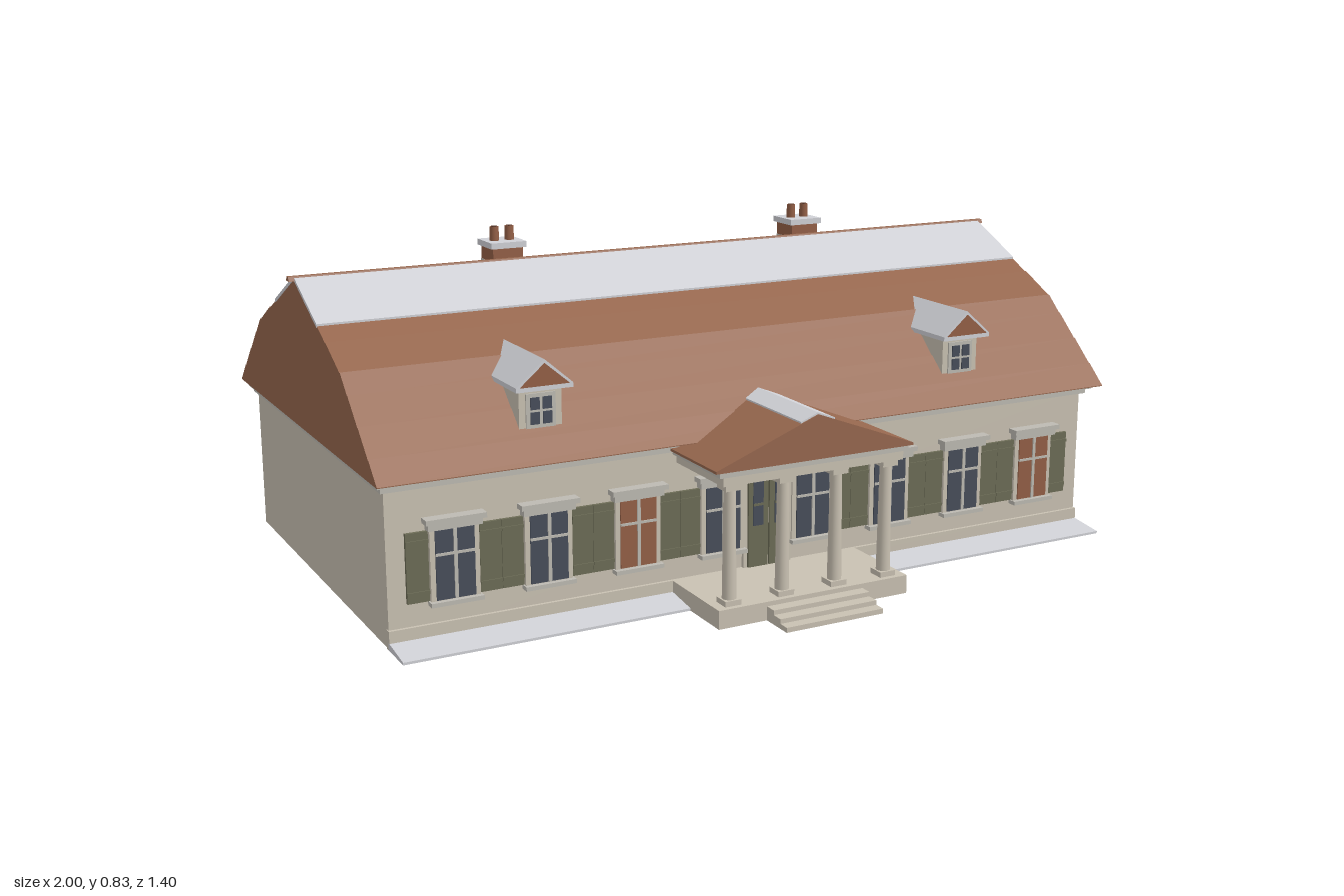
import * as THREE from 'three';

const mat = (name, color) => Object.assign(new THREE.MeshStandardMaterial({ color }), { name });

export function createModel() {
  const M = {
    wall: mat('plaster', 0xc9c1b2),
    trim: mat('pale stone trim', 0xbdbab2),
    roof: mat('roof tile', 0x96674e),
    metal: mat('pale sheet metal', 0xd0d1d6),
    shutter: mat('olive paint', 0x6c6c56),
    glass: mat('dark glass', 0x474d5a),
    brick: mat('brown board', 0x935f46),
    dark: mat('dark pot', 0x5d3a2c),
  };
  const model = new THREE.Group();
  model.name = 'house';

  const add = (parent, name, geo, m, x = 0, y = 0, z = 0) => {
    const mesh = new THREE.Mesh(geo, m);
    mesh.name = name;
    mesh.position.set(x, y, z);
    parent.add(mesh);
    return mesh;
  };
  // Box given by its extents on each axis
  const box = (parent, name, m, [x0, x1], [y0, y1], [z0, z1]) =>
    add(parent, name, new THREE.BoxGeometry(x1 - x0, y1 - y0, z1 - z0), m, (x0 + x1) / 2, (y0 + y1) / 2, (z0 + z1) / 2);
  const shapeOf = pts => new THREE.Shape(pts.map(p => new THREE.Vector2(...p)));
  const extrude = (pts, depth) => new THREE.ExtrudeGeometry(shapeOf(pts), { depth, bevelEnabled: false });
  // Prism along x from a (z, y) profile
  const prismX = (parent, name, m, pts, half) =>
    add(parent, name, extrude(pts, half * 2).rotateY(-Math.PI / 2), m, half);
  // Prism along z from an (x, y) profile
  const prismZ = (parent, name, m, pts, z0, z1) => add(parent, name, extrude(pts, z1 - z0), m, 0, 0, z0);
  const group = (name, x = 0, y = 0, z = 0) => {
    const g = new THREE.Group();
    g.name = name;
    g.position.set(x, y, z);
    model.add(g);
    return g;
  };

  // Walls, plinth, cornice and front pavement
  box(model, 'walls', M.wall, [-0.955, 0.955], [0, 0.37], [-0.652, 0.38]);
  box(model, 'plinth', M.wall, [-0.957, 0.957], [0, 0.045], [0.37, 0.388]);
  box(model, 'corniceLower', M.trim, [-0.965, 0.965], [0.362, 0.376], [-0.66, 0.392]);
  box(model, 'corniceUpper', M.trim, [-0.975, 0.975], [0.376, 0.392], [-0.675, 0.405]);
  prismX(model, 'pavement', M.metal, [[0.38, 0], [0.478, 0], [0.478, 0.006], [0.38, 0.018]], 0.957);

  // Double-pitched main roof, stepped slightly at each tile course
  const ridgeZ = -0.133, lip = 0.003;
  const slope = d => (d > 0.337 ? 0.39 + (0.568 - d) * 0.2 / 0.231 : 0.75 - d * 0.16 / 0.337);
  const side = [[0.568, 0.388], [0.568, slope(0.568)]];
  for (const d of [0.515, 0.45, 0.385, 0.337, 0.235]) side.push([d, slope(d) + lip], [d, slope(d)]);
  const profile = [
    ...side.map(([d, y]) => [ridgeZ + d, y]),
    [ridgeZ, 0.75],
    ...side.map(([d, y]) => [ridgeZ - d, y]).reverse(),
  ];
  prismX(model, 'mainRoof', M.roof, profile, 0.985);

  // Pale band along both upper slopes, and ridge cap
  for (const s of [1, -1]) {
    const pts = [[0.006, slope(0.006) - 0.004], [0.175, slope(0.175) - 0.004], [0.175, slope(0.175) + 0.005], [0.006, slope(0.006) + 0.005]]
      .map(([d, y]) => [ridgeZ + s * d, y]);
    prismX(model, 'roofBand', M.metal, s > 0 ? pts : pts.reverse(), 0.986);
  }
  prismX(model, 'ridgeCap', M.roof, [[ridgeZ - 0.011, 0.744], [ridgeZ + 0.011, 0.744], [ridgeZ + 0.006, 0.755], [ridgeZ - 0.006, 0.755]], 1);

  // Chimneys
  for (const x of [-0.434, 0.431]) {
    const g = group('chimney', x, 0, -0.2);
    const sq = (name, m, h, y0, y1) => box(g, name, m, [-h, h], [y0, y1], [-h, h]);
    sq('stack', M.brick, 0.036, 0.65, 0.74);
    sq('collar', M.trim, 0.041, 0.735, 0.742);
    sq('stackHead', M.brick, 0.04, 0.742, 0.776);
    sq('cap', M.metal, 0.047, 0.776, 0.791);
    for (const s of [-1, 1]) {
      add(g, 'pot', new THREE.CylinderGeometry(0.011, 0.012, 0.036, 12), M.brick, s * 0.02, 0.808, 0);
      add(g, 'potMouth', new THREE.CylinderGeometry(0.008, 0.008, 0.003, 12), M.dark, s * 0.02, 0.826, 0);
    }
  }

  // Dormers
  for (const x of [-0.576, 0.576]) {
    const g = group('dormer', x);
    box(g, 'dormerBody', M.wall, [-0.052, 0.052], [0.42, 0.56], [0.2, 0.36]);
    prismZ(g, 'dormerRoof', M.metal, [[-0.069, 0.546], [0.069, 0.546], [0.069, 0.557], [0, 0.617], [-0.069, 0.557]], 0.12, 0.388);
    prismZ(g, 'dormerGable', M.brick, [[-0.06, 0.557], [0.06, 0.557], [0, 0.608]], 0.386, 0.391);
    box(g, 'dormerFrame', M.trim, [-0.036, 0.036], [0.455, 0.535], [0.355, 0.364]);
    for (const s of [-1, 1]) for (const y of [0.464, 0.498])
      box(g, 'dormerPane', M.glass, [s * 0.015 - 0.011, s * 0.015 + 0.011], [y, y + 0.028], [0.36, 0.367]);
  }

  // Front windows with shutters; two have boarded panes
  [-0.8, -0.575, -0.35, -0.125, 0.125, 0.35, 0.575, 0.8].forEach((x, i) => {
    const g = group('window', x);
    const pane = i === 2 || i === 7 ? M.brick : M.glass;
    box(g, 'frame', M.wall, [-0.058, 0.058], [0.092, 0.275], [0.375, 0.392]);
    box(g, 'lintel', M.trim, [-0.064, 0.064], [0.264, 0.28], [0.375, 0.402]);
    box(g, 'lintelCap', M.trim, [-0.071, 0.071], [0.28, 0.292], [0.375, 0.41]);
    box(g, 'sill', M.trim, [-0.062, 0.062], [0.088, 0.098], [0.375, 0.404]);
    box(g, 'panes', pane, [-0.046, 0.046], [0.1, 0.262], [0.388, 0.395]);
    box(g, 'mullion', M.trim, [-0.004, 0.004], [0.1, 0.262], [0.39, 0.398]);
    box(g, 'transom', M.trim, [-0.046, 0.046], [0.203, 0.209], [0.39, 0.398]);
    for (const s of [-1, 1]) {
      if (Math.abs(x) < 0.2 && s * x < 0) continue; // no shutter beside the door
      const a = s * 0.086;
      box(g, 'shutter', M.shutter, [a - 0.026, a + 0.026], [0.1, 0.262], [0.375, 0.388]);
      for (const y of [0.118, 0.236])
        box(g, 'shutterRail', M.shutter, [a - 0.026, a + 0.026], [y, y + 0.008], [0.385, 0.391]);
    }
  });

  // Double door with a fanlight
  const door = group('door');
  box(door, 'doorFrame', M.wall, [-0.066, 0.066], [0.045, 0.285], [0.375, 0.389]);
  for (const s of [-1, 1]) {
    box(door, 'doorLeaf', M.shutter, [s * 0.029 - 0.027, s * 0.029 + 0.027], [0.046, 0.275], [0.38, 0.395]);
    box(door, 'doorGlass', M.glass, [s * 0.03 - 0.014, s * 0.03 + 0.014], [0.15, 0.26], [0.39, 0.397]);
    box(door, 'doorBar', M.shutter, [s * 0.03 - 0.014, s * 0.03 + 0.014], [0.2, 0.206], [0.392, 0.399]);
  }
  add(door, 'fanlight', new THREE.CircleGeometry(0.056, 24, 0, Math.PI), M.brick, 0, 0.279, 0.392);
  add(door, 'fanArch', new THREE.TorusGeometry(0.058, 0.006, 6, 24, Math.PI), M.wall, 0, 0.279, 0.388);
  for (let i = 1; i < 6; i++) {
    const ray = add(door, 'fanRay', new THREE.BoxGeometry(0.056, 0.003, 0.004).translate(0.028, 0, 0), M.wall, 0, 0.279, 0.393);
    ray.rotation.z = i * Math.PI / 6;
  }

  // Porch floor and steps
  const porch = group('porch');
  box(porch, 'porchFloor', M.wall, [-0.258, 0.254], [0, 0.045], [0.37, 0.615]);
  [[0.645, 0.034], [0.675, 0.023], [0.703, 0.012]].forEach(([z, y]) =>
    box(porch, 'step', M.wall, [-0.132, 0.128], [0, y], [0.6, z]));

  // Columns
  for (const x of [-0.213, -0.073, 0.07, 0.208]) {
    box(porch, 'columnBase', M.wall, [x - 0.021, x + 0.021], [0.045, 0.058], [0.56, 0.602]);
    add(porch, 'column', new THREE.CylinderGeometry(0.014, 0.017, 0.262, 20), M.wall, x, 0.189, 0.581);
    box(porch, 'capital', M.wall, [x - 0.021, x + 0.021], [0.318, 0.333], [0.56, 0.602]);
  }

  // Entablature and gabled porch roof with a pale ridge strip
  box(porch, 'entablature', M.wall, [-0.243, 0.24], [0.332, 0.356], [0.37, 0.606]);
  box(porch, 'porchCornice', M.trim, [-0.254, 0.251], [0.354, 0.367], [0.37, 0.611]);
  prismZ(porch, 'porchRoof', M.roof, [[-0.265, 0.366], [0.263, 0.366], [0.263, 0.372], [0, 0.472], [-0.265, 0.372]], 0.3, 0.613);
  prismZ(porch, 'porchRidgeStrip', M.metal, [[-0.045, 0.453], [0, 0.47], [0.045, 0.453], [0.045, 0.459], [0, 0.476], [-0.045, 0.459]], 0.33, 0.61);
  return model;
}
